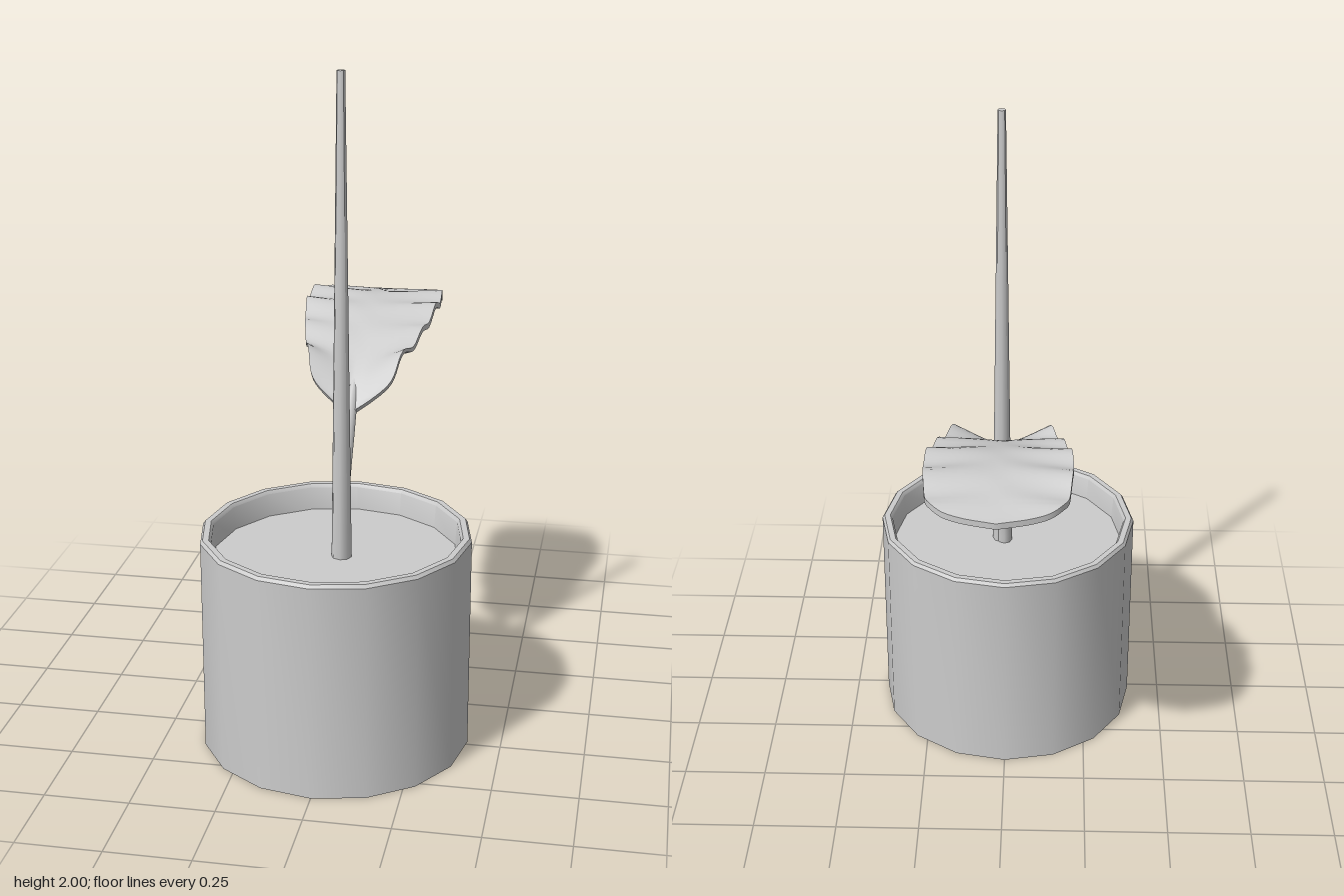
import * as THREE from 'three';
import { toCreasedNormals } from 'three/addons/utils/BufferGeometryUtils.js';

const POT_Z = 0.235;

export function createModel() {
  const group = new THREE.Group();
  const grey = new THREE.MeshStandardMaterial({ color: 0xcccccc });
  grey.name = 'plain grey';

  const add = (name, geometry, x = 0, y = 0, z = 0) => {
    const mesh = new THREE.Mesh(geometry, grey);
    mesh.name = name;
    mesh.position.set(x, y, z);
    group.add(mesh);
  };

  // Sixteen-sided pot with a bevelled rim, and soil set below the rim
  const profile = [
    [0, 0], [0.4, 0], [0.4, 0.65], [0.393, 0.66], [0.375, 0.66], [0.368, 0.65], [0.36, 0.56],
  ].map(([r, y]) => new THREE.Vector2(r, y));
  add('pot', toCreasedNormals(new THREE.LatheGeometry(profile, 16), 0.6), 0, 0, POT_Z);
  const soil = new THREE.CircleGeometry(0.364, 16, Math.PI / 2);
  soil.rotateX(-Math.PI / 2);
  add('soil', soil, 0, 0.58, POT_Z);

  // Tall tapering stem
  const stem = new THREE.CylinderGeometry(0.012, 0.03, 1.425, 8);
  add('stem', toCreasedNormals(stem, 0.9), 0.018, 1.2875, 0.24);

  // Leaf stalk, tapering into the midrib under the blade
  const path = new THREE.CatmullRomCurve3([
    [0.57, 0.226], [0.67, 0.218], [0.775, 0.187], [0.9, 0.118], [0.965, 0.067],
    [1.025, 0], [1.095, -0.1], [1.148, -0.2], [1.175, -0.3], [1.185, -0.4],
  ].map(([y, z]) => new THREE.Vector3(0.01, y, z)));
  const rows = 28, sides = 8;
  const stalk = new THREE.TubeGeometry(path, rows, 0.023, sides);
  const pos = stalk.attributes.position, p = new THREE.Vector3();
  for (let i = 0; i < pos.count; i++) {
    const t = Math.floor(i / (sides + 1)) / rows;
    const c = path.getPointAt(t);
    const k = 1 - 0.75 * THREE.MathUtils.smoothstep(t, 0.35, 0.8);
    p.fromBufferAttribute(pos, i).sub(c).multiplyScalar(k).add(c);
    pos.setXYZ(i, p.x, p.y, p.z);
  }
  add('leafStalk', stalk);

  add('leafBlade', leafGeometry(), 0.01);
  return group;
}

// Arched blade: closed cross-sections along the midrib, cupped at the base, rippled at the edges
function leafGeometry() {
  // half width, height, depth
  const outline = new THREE.CatmullRomCurve3([
    [0.02, 0.97, 0.072], [0.065, 0.985, 0.055], [0.118, 1.01, 0.03], [0.14, 1.06, -0.02],
    [0.164, 1.117, -0.1], [0.186, 1.165, -0.2], [0.202, 1.192, -0.3], [0.208, 1.201, -0.38],
    [0.203, 1.195, -0.47], [0.188, 1.178, -0.55], [0.155, 1.168, -0.59], [0.1, 1.162, -0.613],
    [0, 1.157, -0.635],
  ].map((a) => new THREE.Vector3(...a)), false, 'centripetal');
  const rows = 60, cols = 12, ring = 2 * (cols + 1), thick = 0.018;
  const verts = [], index = [];
  for (let r = 0; r <= rows; r++) {
    const o = outline.getPoint(r / rows);
    const cup = 0.5 * o.x * THREE.MathUtils.smoothstep(o.z, -0.17, 0.04);
    const slope = THREE.MathUtils.smoothstep(o.z, -0.3, 0.07);
    for (let i = 0; i < ring; i++) {
      const top = i <= cols;
      const u = (top ? i : ring - 1 - i) / cols * 2 - 1;
      const a = Math.abs(u);
      const fade = THREE.MathUtils.smoothstep(o.z, -0.635, -0.5);
      const ripple = 0.012 * a * fade * Math.cos((o.z + 0.03 * a) * Math.PI * 2 / 0.14);
      verts.push(
        u * o.x,
        o.y + cup * Math.pow(a, 1.3) + ripple - (top ? 0 : thick * (1 - 0.3 * slope)),
        o.z - (top ? 0 : thick * 0.6 * slope),
      );
    }
  }
  for (let r = 0; r < rows; r++) {
    for (let i = 0; i < ring; i++) {
      const a = r * ring + i, b = r * ring + (i + 1) % ring;
      index.push(a, b, a + ring, b, b + ring, a + ring);
    }
  }
  const g = new THREE.BufferGeometry();
  g.setAttribute('position', new THREE.Float32BufferAttribute(verts, 3));
  g.setIndex(index);
  return toCreasedNormals(g, 0.8);
}
